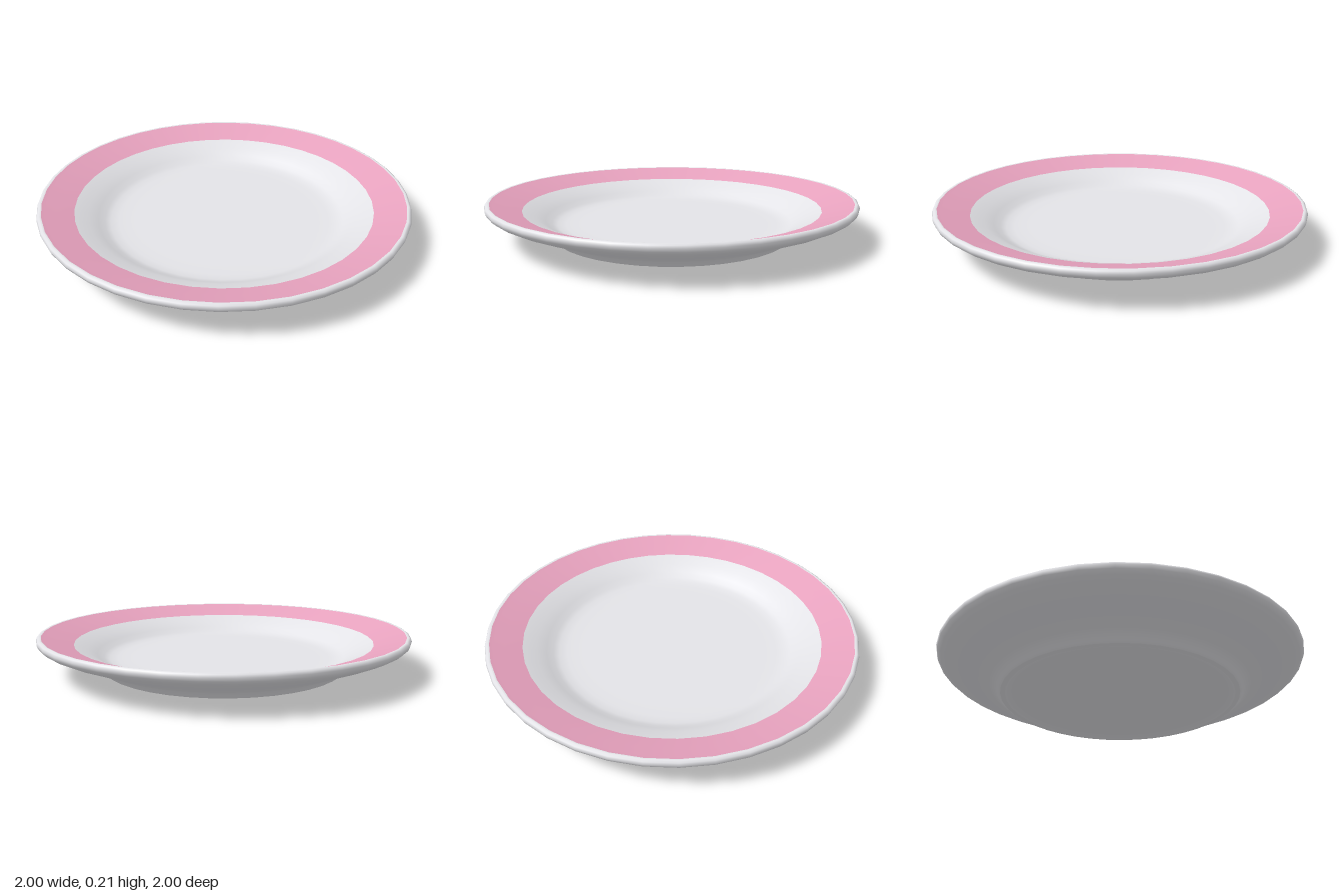
import * as THREE from 'three';

const SEGMENTS = 40;

export function createModel() {
  const plate = new THREE.Group();
  plate.name = 'plate';

  const white = new THREE.MeshStandardMaterial({ color: 0xe8e8ec });
  white.name = 'white ceramic';
  const pink = new THREE.MeshStandardMaterial({ color: 0xeea7c4 });
  pink.name = 'pink glaze';

  // Each part is a ring turned from [radius, height] points
  const ring = (name, material, points) => {
    const profile = points.map(([r, y]) => new THREE.Vector2(r, y));
    const mesh = new THREE.Mesh(new THREE.LatheGeometry(profile, SEGMENTS), material);
    mesh.name = name;
    plate.add(mesh);
  };

  // Recessed base inside the foot
  ring('base', white, [[0, 0.022], [0.54, 0.022], [0.59, 0.016], [0.625, 0]]);

  // Flat bearing edge of the foot
  ring('footEdge', white, [[0.625, 0], [0.65, 0.002]]);

  // Foot side, sloping underside and rounded lip
  ring('underside', white, [
    [0.65, 0.002], [0.665, 0.012], [0.685, 0.035], [0.72, 0.052],
    [0.82, 0.092], [0.93, 0.135], [0.975, 0.157], [0.994, 0.173],
    [1, 0.19], [0.995, 0.203], [0.985, 0.209], [0.975, 0.207],
  ]);

  // Coloured band on the rim
  ring('rimBand', pink, [[0.975, 0.207], [0.955, 0.2], [0.9, 0.184], [0.81, 0.156]]);

  // Well: inner slope curving into the flat floor
  ring('well', white, [
    [0.81, 0.156], [0.74, 0.128], [0.69, 0.1], [0.655, 0.079],
    [0.625, 0.068], [0.58, 0.063], [0.5, 0.062], [0, 0.062],
  ]);

  return plate;
}
